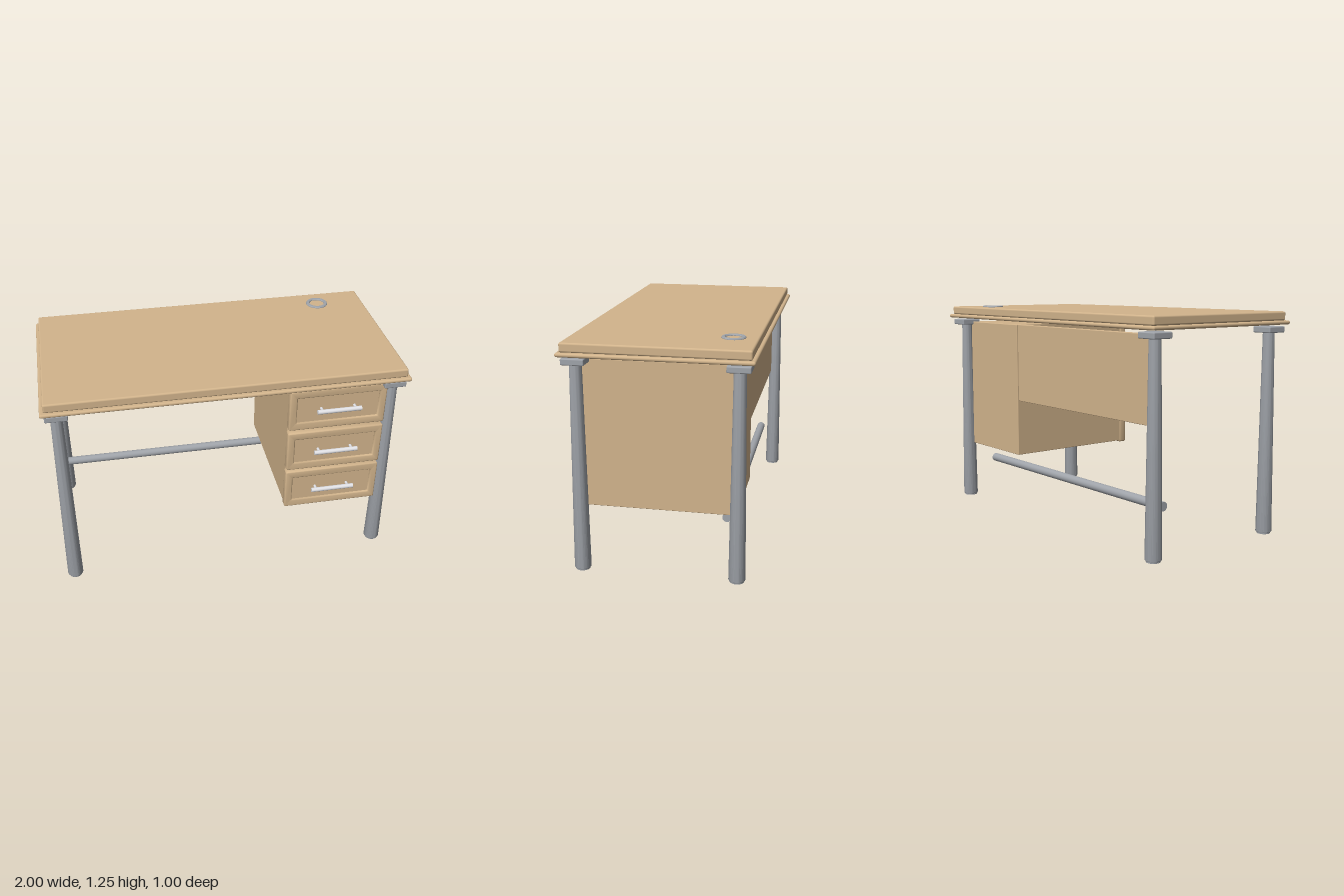
import * as THREE from 'three';
import { RoundedBoxGeometry } from 'three/addons/geometries/RoundedBoxGeometry.js';
import { toCreasedNormals } from 'three/addons/utils/BufferGeometryUtils.js';

const wood = new THREE.MeshStandardMaterial({ color: 0xd2b48c });
const metal = new THREE.MeshStandardMaterial({ color: 0xa0a4aa });
const chrome = new THREE.MeshStandardMaterial({ color: 0xe0e0e4 });

function add(parent, name, geometry, material, x = 0, y = 0, z = 0) {
  const mesh = new THREE.Mesh(geometry, material);
  mesh.name = name;
  mesh.position.set(x, y, z);
  parent.add(mesh);
  return mesh;
}

// Rounded box given by its centre and size
function slab(parent, name, material, [x, y, z], [w, h, d], radius) {
  return add(parent, name, new RoundedBoxGeometry(w, h, d, 3, radius), material, x, y, z);
}

// Cylinder lying along x
function rod(parent, name, material, [x, y, z], radius, length) {
  const geometry = new THREE.CylinderGeometry(radius, radius, length, 24).rotateZ(Math.PI / 2);
  return add(parent, name, geometry, material, x, y, z);
}

function lathe(points) {
  const geometry = new THREE.LatheGeometry(points.map(([r, y]) => new THREE.Vector2(r, y)), 32);
  return toCreasedNormals(geometry, 0.5);
}

// Rectangle outline with rounded corners
function rectangle(path, w, h, r) {
  const x = w / 2 - r, y = h / 2 - r;
  path.absarc(x, y, r, 0, Math.PI / 2);
  path.absarc(-x, y, r, Math.PI / 2, Math.PI);
  path.absarc(-x, -y, r, Math.PI, Math.PI * 1.5);
  path.absarc(x, -y, r, Math.PI * 1.5, Math.PI * 2);
  path.closePath();
  return path;
}

// Tapered leg with a small foot and a square mounting plate
function makeLeg(x, z) {
  const leg = new THREE.Group();
  leg.name = 'leg';
  leg.position.set(x, 0, z);
  add(leg, 'legPost', lathe([[0, 0], [0.038, 0], [0.038, 0.009], [0.043, 0.009], [0.045, 0.013],
    [0.032, 1.14], [0, 1.14]]), metal);
  slab(leg, 'mountingPlate', metal, [0, 1.149, 0], [0.122, 0.034, 0.122], 0.006);
  return leg;
}

// Framed drawer front with a recessed panel and a bar handle
function makeDrawer(y) {
  const drawer = new THREE.Group();
  drawer.name = 'drawer';
  drawer.position.set(0.6125, y, 0.395);
  const frame = rectangle(new THREE.Shape(), 0.551, 0.256, 0.01);
  frame.holes.push(rectangle(new THREE.Path(), 0.465, 0.16, 0.002));
  const bevel = 0.008;
  const frameGeometry = new THREE.ExtrudeGeometry(frame, {
    depth: 0.05 - 2 * bevel, bevelSize: bevel, bevelThickness: bevel, bevelOffset: -bevel, bevelSegments: 3,
  }).translate(0, 0, bevel);
  add(drawer, 'drawerFrame', toCreasedNormals(frameGeometry, 0.7), wood);
  add(drawer, 'drawerPanel', new THREE.BoxGeometry(0.49, 0.19, 0.03), wood, 0, 0, 0.025);
  rod(drawer, 'handleBar', chrome, [0, 0, 0.077], 0.013, 0.25);
  for (const side of [-1, 1]) {
    const post = new THREE.CylinderGeometry(0.008, 0.008, 0.05, 16).rotateX(Math.PI / 2);
    add(drawer, 'handlePost', post, chrome, side * 0.095, 0, 0.053);
  }
  return drawer;
}

export function createModel() {
  const desk = new THREE.Group();
  desk.name = 'desk';

  // Top board and the wider lip beneath it
  slab(desk, 'tabletop', wood, [0, 1.222, 0], [1.96, 0.05, 0.966], 0.01);
  slab(desk, 'tabletopLip', wood, [0, 1.187, 0], [2, 0.022, 1], 0.0105);

  // Cable grommet ring
  add(desk, 'cableGrommet', lathe([[0.043, 1.24], [0.064, 1.24], [0.064, 1.25], [0.06, 1.255],
    [0.047, 1.255], [0.043, 1.25], [0.043, 1.24]]), metal, 0.698, 0, -0.352);

  for (const x of [-0.918, 0.918]) {
    for (const z of [-0.417, 0.417]) desk.add(makeLeg(x, z));
  }

  // Drawer cabinet
  slab(desk, 'cabinet', wood, [0.611, 0.751, -0.003], [0.54, 0.798, 0.806], 0.004);
  for (const y of [1.019, 0.742, 0.471]) desk.add(makeDrawer(y));

  // Back panel and foot rail
  slab(desk, 'modestyPanel', wood, [-0.25, 0.919, -0.383], [1.2, 0.464, 0.03], 0.004);
  rod(desk, 'footRail', metal, [-0.085, 0.27, -0.333], 0.025, 1.63);

  return desk;
}
